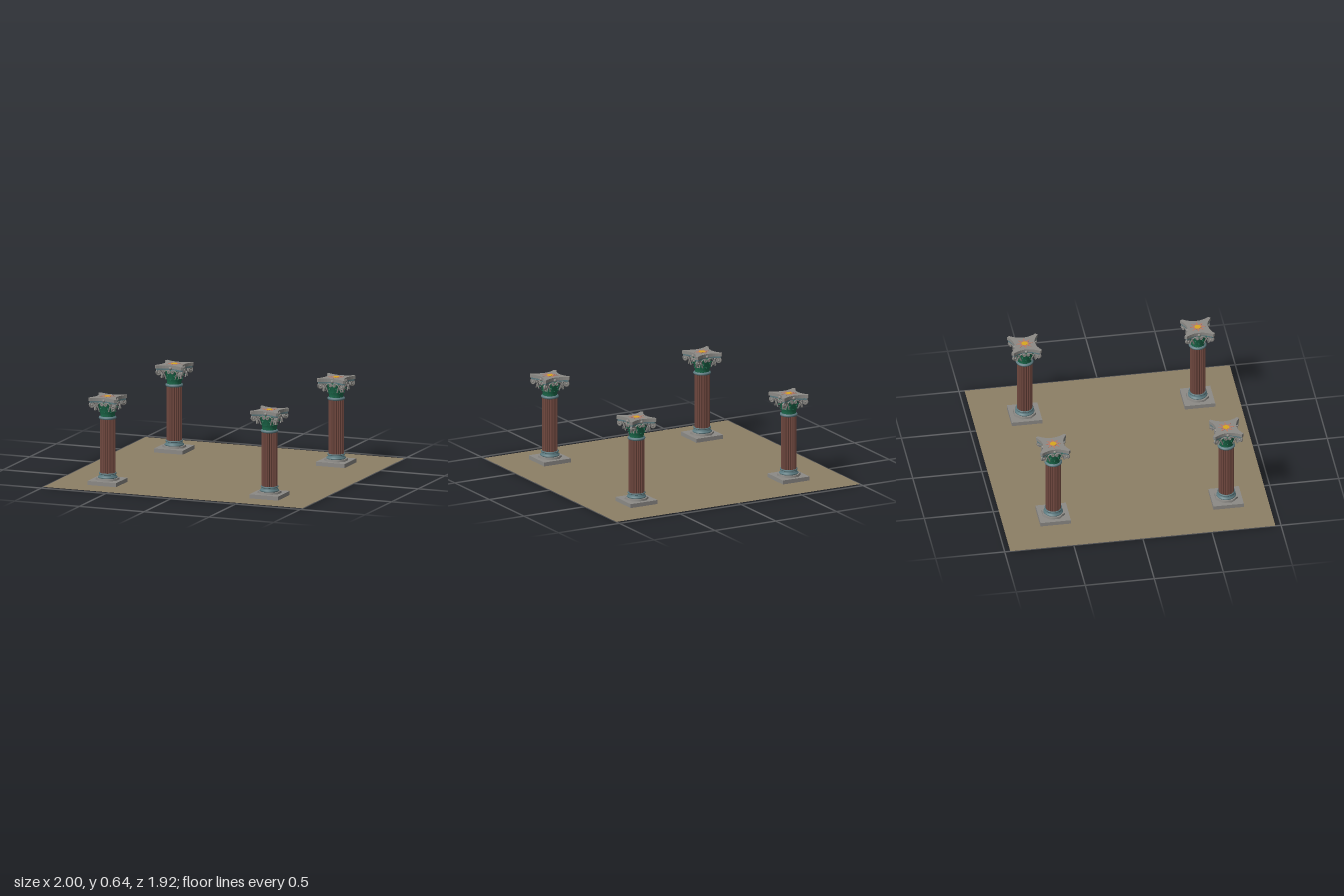
import * as THREE from 'three';

const mat = (color, side = THREE.FrontSide) => new THREE.MeshStandardMaterial({ color, side });
const stone = mat(0x8c8a86), blueStone = mat(0x5c7a80), red = mat(0x70483f);
const green = mat(0x1c6b4c, THREE.DoubleSide), sand = mat(0x8d7f66, THREE.DoubleSide);
const gold = mat(0xd8a820), rose = mat(0xb57a68);

function add(parent, name, geometry, material, x = 0, y = 0, z = 0) {
  const mesh = new THREE.Mesh(geometry, material);
  mesh.name = name;
  mesh.position.set(x, y, z);
  parent.add(mesh);
  return mesh;
}

const lathe = (pts, n = 32) => new THREE.LatheGeometry(pts.map(p => new THREE.Vector2(...p)), n);

// Extrude a plan shape upward
function slab(shape, height) {
  const g = new THREE.ExtrudeGeometry(shape, { depth: height, bevelEnabled: false, curveSegments: 10 });
  return g.rotateX(-Math.PI / 2);
}

// Closed plan outline from a polar radius rule
function polarShape(count, radius) {
  const pts = [];
  for (let i = 0; i < count; i++) {
    const a = (i / count) * Math.PI * 2, r = radius(i);
    pts.push(new THREE.Vector2(Math.cos(a) * r, Math.sin(a) * r));
  }
  return new THREE.Shape(pts);
}

// Square with four concave sides and clipped corners
function abacusShape(h, waist) {
  const s = new THREE.Shape(), c = h - 0.014, q = 2 * waist - h;
  s.moveTo(-c, -h);
  s.quadraticCurveTo(0, -q, c, -h);
  s.lineTo(h, -c);
  s.quadraticCurveTo(q, 0, h, c);
  s.lineTo(c, h);
  s.quadraticCurveTo(0, q, -c, h);
  s.lineTo(-h, c);
  s.quadraticCurveTo(-q, 0, -h, -c);
  s.closePath();
  return s;
}

// Leaf that rises along the bell and curls outward at its tip
function leafGeometry(height, r0, flare, width) {
  const g = new THREE.PlaneGeometry(2, 1, 4, 10), p = g.attributes.position;
  for (let i = 0; i < p.count; i++) {
    const u = p.getX(i), t = p.getY(i) + 0.5;
    const w = width * (0.75 + 0.5 * Math.sin(t * Math.PI)) * (t > 0.7 ? 1 - (t - 0.7) * 2.6 : 1);
    const lift = t < 0.85 ? t / 0.85 : 1 - (t - 0.85) * 1.2;
    p.setXYZ(i, u * w, lift * height, r0 + flare * t ** 2.5 - 0.005 * u * u);
  }
  g.computeVertexNormals();
  return g;
}

// Flat scroll: a stem sweeping up into a spiral around the origin
function scrollGeometry(R, turns) {
  const pts = [new THREE.Vector3(-0.052, -0.045, 0), new THREE.Vector3(-0.04, -0.012, 0),
    new THREE.Vector3(-0.022, R * 0.75, 0)];
  for (let i = 0; i <= turns * 10; i++) {
    const a = Math.PI / 2 - i * Math.PI / 5, r = R * (1 - 0.75 * i / (turns * 10));
    pts.push(new THREE.Vector3(Math.cos(a) * r, Math.sin(a) * r, 0));
  }
  return new THREE.TubeGeometry(new THREE.CatmullRomCurve3(pts), 56, 0.0048, 6);
}

function createCapital() {
  const capital = new THREE.Group();
  capital.name = 'capital';
  add(capital, 'bell', lathe([[0.05, 0.49], [0.051, 0.52], [0.056, 0.55], [0.068, 0.58], [0.074, 0.6], [0, 0.6]]), green);

  // Two staggered rows of leaves
  const rows = [[0.045, 0.052, 0.017, 0.017, 0.49, 0], [0.073, 0.052, 0.026, 0.017, 0.492, 0.5]];
  rows.forEach(([h, r, flare, w, y, shift]) => {
    const g = leafGeometry(h, r, flare, w);
    for (let i = 0; i < 8; i++) {
      add(capital, 'leaf', g, green, 0, y, 0).rotation.y = (i + shift) * Math.PI / 4;
    }
  });

  const scroll = scrollGeometry(0.021, 2);
  const disc = new THREE.CylinderGeometry(0.019, 0.019, 0.009, 20).rotateX(Math.PI / 2);
  const eye = new THREE.SphereGeometry(0.007, 10, 8);
  const small = scrollGeometry(0.012, 1.5);
  for (let k = 0; k < 4; k++) {
    const side = new THREE.Group();
    side.name = 'capitalSide';
    side.rotation.y = k * Math.PI / 2;
    capital.add(side);
    for (const s of [-1, 1]) {
      // Corner volutes
      const volute = new THREE.Group();
      volute.name = 'volute';
      volute.position.set(s * 0.084, 0.582, 0.09);
      volute.rotation.y = s > 0 ? -0.4 : Math.PI + 0.4;
      add(volute, 'scroll', scroll, stone);
      add(volute, 'scrollDisc', disc, stone);
      for (const z of [-0.006, 0.006]) add(volute, 'scrollEye', eye, stone, 0, 0, z);
      side.add(volute);
      // Small inner scrolls meeting at the middle
      const inner = add(side, 'innerScroll', small, stone, s * 0.015, 0.586, 0.074);
      inner.rotation.y = s > 0 ? Math.PI : 0;
    }
    // Flower on the middle of each abacus side
    add(side, 'flower', new THREE.SphereGeometry(0.012, 12, 8), stone, 0, 0.615, 0.073);
  }

  add(capital, 'abacusLower', slab(abacusShape(0.104, 0.068), 0.013), blueStone, 0, 0.6, 0);
  add(capital, 'abacusUpper', slab(abacusShape(0.11, 0.074), 0.024), stone, 0, 0.612, 0);
  // Inlaid eight-pointed star
  add(capital, 'star', slab(polarShape(16, i => (i % 2 ? 0.028 : 0.062)), 0.001), rose, 0, 0.636, 0);
  add(capital, 'starCentre', new THREE.CylinderGeometry(0.023, 0.023, 0.002, 24), gold, 0, 0.637, 0);
  return capital;
}

function createColumn() {
  const column = new THREE.Group();
  column.name = 'column';
  // Stepped base
  add(column, 'plinth', new THREE.BoxGeometry(0.22, 0.03, 0.22), stone, 0, 0.015, 0);
  add(column, 'step', new THREE.CylinderGeometry(0.083, 0.086, 0.014, 8).rotateY(Math.PI / 8), stone, 0, 0.037, 0);
  add(column, 'baseMoulding', lathe([[0.066, 0.043], [0.07, 0.047], [0.069, 0.053], [0.062, 0.057],
    [0.058, 0.064], [0.059, 0.07], [0, 0.07]]), blueStone);
  add(column, 'baseRing', new THREE.TorusGeometry(0.058, 0.006, 8, 32).rotateX(Math.PI / 2), blueStone, 0, 0.076, 0);

  // Fluted shaft
  const flutes = 20, steps = 8;
  const outline = polarShape(flutes * steps, i => {
    const t = (i % steps) / steps;
    return 0.056 - 0.006 * Math.max(0, Math.sin((t - 0.125) / 0.75 * Math.PI));
  });
  add(column, 'shaft', slab(outline, 0.405), red, 0, 0.072, 0);

  // Neck rings
  add(column, 'neckRing', lathe([[0.05, 0.472], [0.06, 0.474], [0.064, 0.481], [0.062, 0.488],
    [0.055, 0.491], [0.05, 0.494]]), blueStone);
  column.add(createCapital());
  return column;
}

export function createModel() {
  const model = new THREE.Group();
  model.name = 'fourColumns';
  add(model, 'ground', new THREE.PlaneGeometry(2, 1.92).rotateX(-Math.PI / 2), sand, 0, 0.001, 0);
  const column = createColumn();
  for (const x of [-0.625, 0.625]) {
    for (const z of [-0.587, 0.665]) {
      const copy = column.clone();
      copy.position.set(x, 0, z);
      model.add(copy);
    }
  }
  return model;
}
